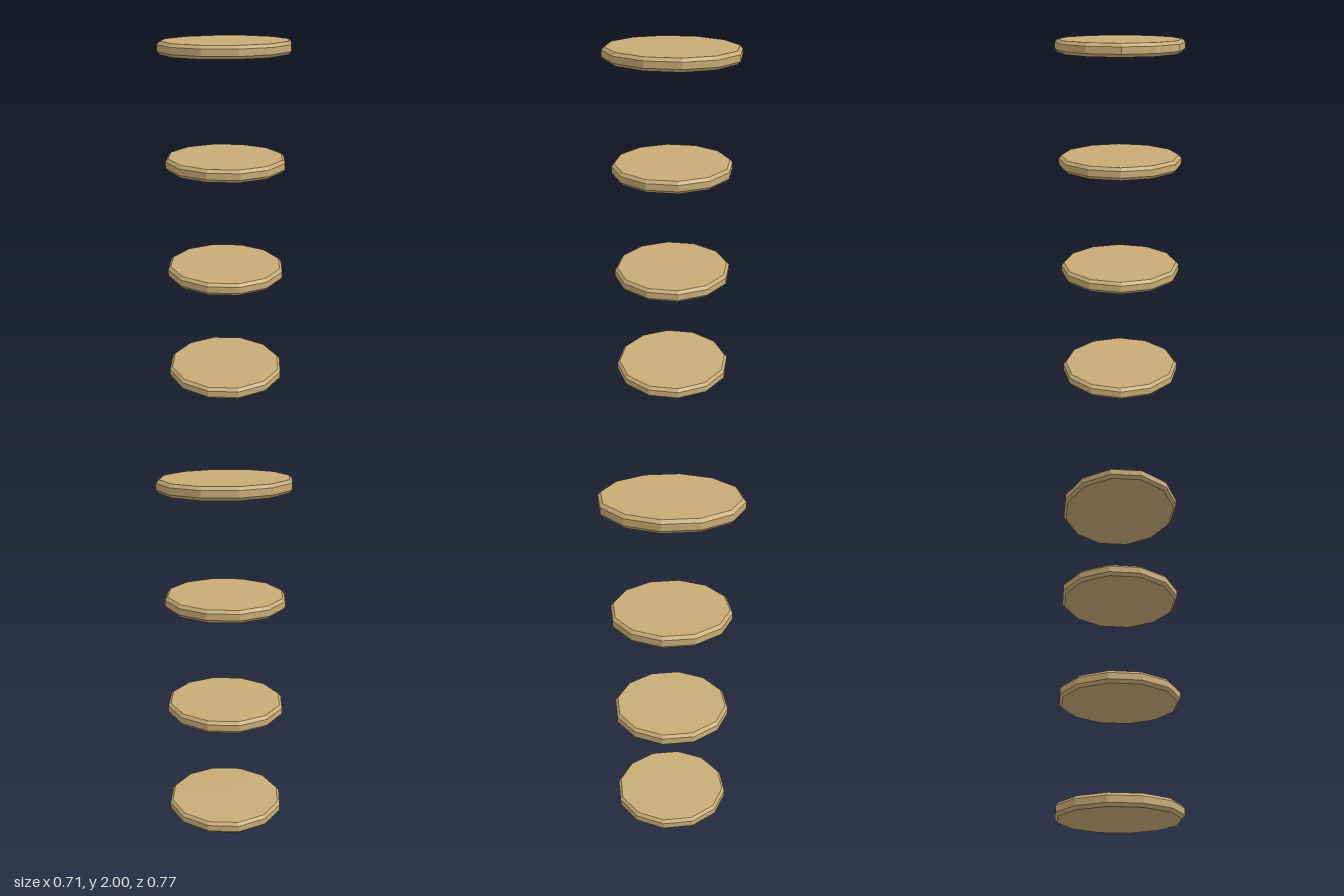
import * as THREE from 'three';

const SIDES = 12;
const THICK = 0.07;
const BEVEL = 0.017;
const INSET = 0.955;

// Twelve-sided disc of unit radius with bevelled rims, standing on y = 0
function discGeometry() {
  const profile = [
    [0, 0], [INSET, 0], [1, BEVEL], [1, THICK - BEVEL], [INSET, THICK], [0, THICK],
  ].map(([r, y]) => new THREE.Vector2(r, y));
  return new THREE.LatheGeometry(profile, SIDES);
}

export function createModel() {
  const model = new THREE.Group();
  model.name = 'stackedDiscs';

  const tan = new THREE.MeshStandardMaterial({ color: 0xc8ac76 });
  tan.name = 'tan';
  tan.flatShading = true;

  // Half width, half depth and base height of each floating disc
  const discs = [
    ['bottomDisc', 0.347, 0.343, 0],
    ['lowerDisc', 0.345, 0.339, 0.647],
    ['upperDisc', 0.347, 0.341, 1.29],
    ['topDisc', 0.354, 0.383, 1.93],
  ];
  const geometry = discGeometry();
  for (const [name, halfX, halfZ, y] of discs) {
    const disc = new THREE.Mesh(geometry, tan);
    disc.name = name;
    disc.scale.set(halfX, 1, halfZ);
    disc.position.y = y;
    model.add(disc);
  }
  return model;
}
